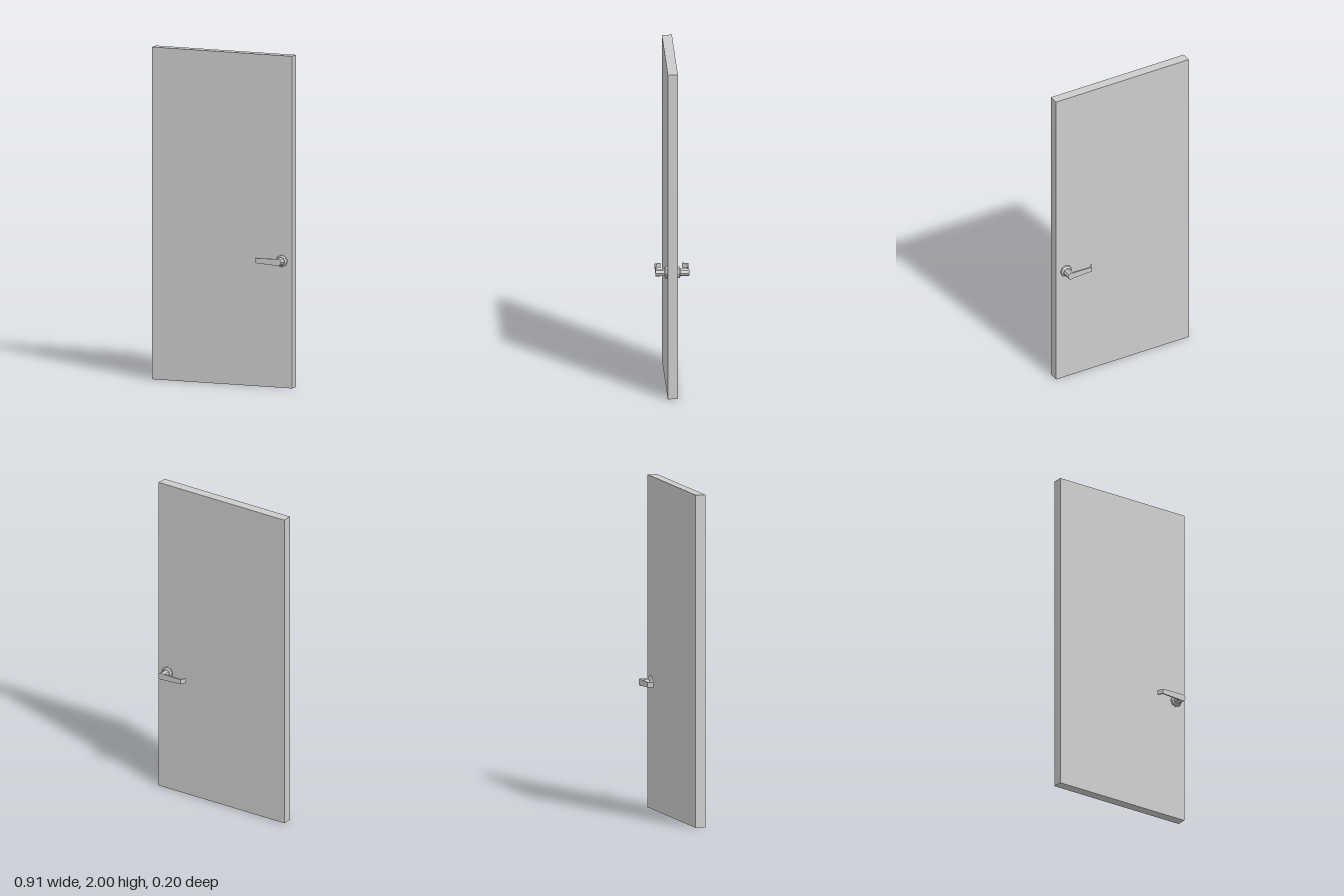
import * as THREE from 'three';

const material = new THREE.MeshStandardMaterial({ color: 0xcccccc, flatShading: true });

function addMesh(parent, name, geometry) {
  const mesh = new THREE.Mesh(geometry, material);
  mesh.name = name;
  parent.add(mesh);
  return mesh;
}

// Eight-sided turned part with its axis along z; points are [radius, z]
function turned(points) {
  const profile = points.map(([r, z]) => new THREE.Vector2(r, z));
  return new THREE.LatheGeometry(profile, 8).rotateX(Math.PI / 2);
}

// Flat lever with an inward bent tip, narrowing towards the tip
function leverGeometry() {
  const outline = [[0.39, 0.1], [0.247, 0.1], [0.232, 0.067], [0.239, 0.064], [0.252, 0.091], [0.39, 0.091]];
  const shape = new THREE.Shape(outline.map(([x, z]) => new THREE.Vector2(x, z)));
  const geometry = new THREE.ExtrudeGeometry(shape, { depth: 2, bevelEnabled: false });
  geometry.translate(0, 0, -1).rotateX(Math.PI / 2);
  const pos = geometry.attributes.position;
  for (let i = 0; i < pos.count; i++) {
    const t = (pos.getX(i) - 0.232) / (0.39 - 0.232);
    const half = THREE.MathUtils.lerp(0.014, 0.02, t);
    pos.setY(i, pos.getY(i) * half + 0.003 * (1 - t));
  }
  geometry.computeVertexNormals();
  return geometry;
}

function createHandle(name) {
  const handle = new THREE.Group();
  handle.name = name;
  const rose = addMesh(handle, 'rose', turned([[0.036, 0.029], [0.036, 0.04], [0.026, 0.048], [0, 0.048]]));
  const neck = addMesh(handle, 'neck', turned([[0.023, 0.045], [0.023, 0.1], [0, 0.1]]));
  rose.position.x = neck.position.x = 0.389;
  addMesh(handle, 'lever', leverGeometry());
  handle.position.y = 0.764;
  return handle;
}

export function createModel() {
  const door = new THREE.Group();
  door.name = 'door';

  // Plain slab
  addMesh(door, 'panel', new THREE.BoxGeometry(0.91, 2, 0.06)).position.y = 1;

  // Handles mirrored through the slab
  const front = createHandle('frontHandle');
  const back = createHandle('backHandle');
  back.scale.z = -1;
  door.add(front, back);
  return door;
}
